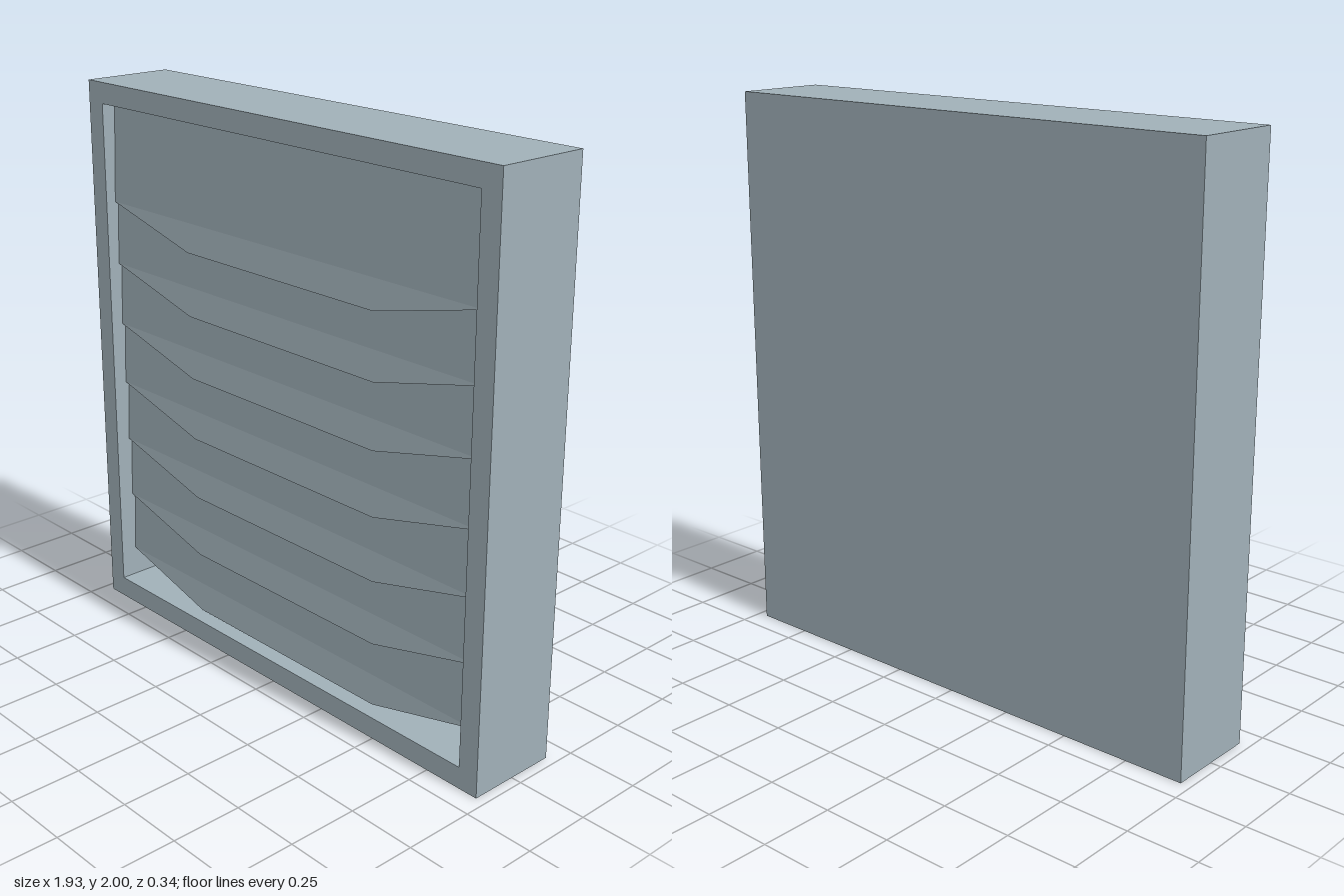
import * as THREE from 'three';

const SLATS = 7, PITCH = 0.23;

// One thin overlapping slat: a slightly leaning panel with a tapered lip folded outward at the bottom
function slatGeometry() {
  const w = 0.885, k = 0.452;
  const points = [
    [-w, 0.355, -0.015], [w, 0.355, -0.015], // top edge
    [-w, 0, 0], [w, 0, 0],                   // fold
    [-k, -0.1, 0.015], [k, -0.1, 0.015],     // lip
  ];
  const faces = [[0, 2, 3], [0, 3, 1], [2, 4, 5], [2, 5, 3]];
  const g = new THREE.BufferGeometry();
  g.setAttribute('position', new THREE.Float32BufferAttribute(faces.flat().flatMap(i => points[i]), 3));
  g.computeVertexNormals(); // unshared corners keep the fold crisp
  return g;
}

export function createModel() {
  const model = new THREE.Group();
  const grey = new THREE.MeshStandardMaterial({ color: 0xa0b0b8 });
  grey.name = 'blue grey';
  grey.side = THREE.DoubleSide;

  const add = (name, geometry, x, y, z) => {
    const mesh = new THREE.Mesh(geometry, grey);
    mesh.name = name;
    mesh.position.set(x, y, z);
    model.add(mesh);
  };

  // Casing: rectangular frame with a closed back
  const outline = new THREE.Shape([[-0.963, 0], [0.963, 0], [0.963, 2], [-0.963, 2]].map(p => new THREE.Vector2(...p)));
  outline.holes.push(new THREE.Path([[-0.887, 0.077], [-0.887, 1.925], [0.887, 1.925], [0.887, 0.077]].map(p => new THREE.Vector2(...p))));
  add('frame', new THREE.ExtrudeGeometry(outline, { depth: 0.338, bevelEnabled: false }), 0, 0, -0.169);
  add('backPanel', new THREE.BoxGeometry(1.8, 1.87, 0.04), 0, 1, -0.149);

  // Slats, each tucked a little behind the one above
  const slat = slatGeometry();
  for (let i = 0; i < SLATS; i++) {
    add('slat' + (i + 1), slat, 0, 1.57 - i * PITCH, 0.133 - i * 0.004);
  }
  return model;
}
